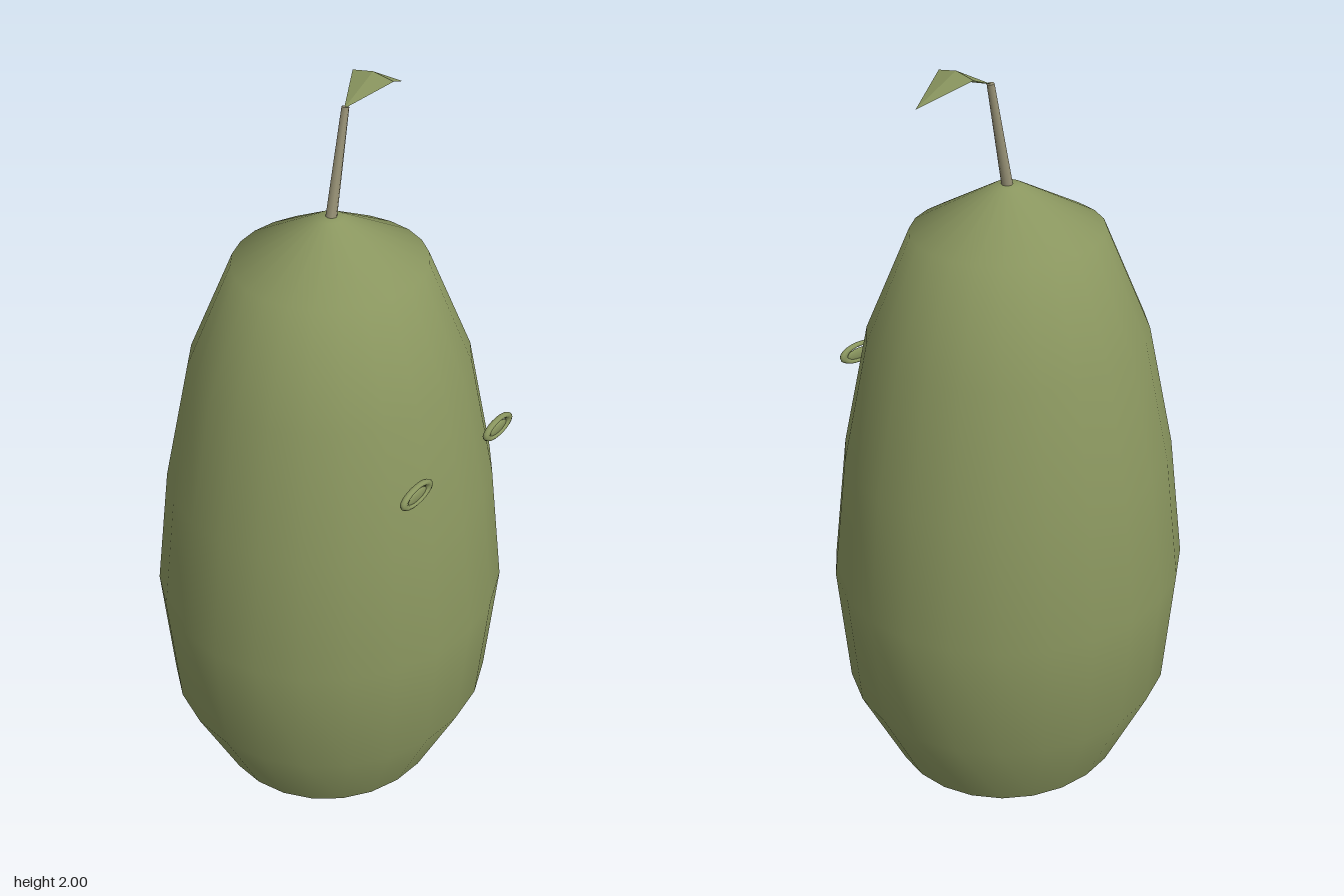
import * as THREE from 'three';

const mat = (name, color, side = THREE.FrontSide) => {
  const m = new THREE.MeshStandardMaterial({ color, side });
  m.name = name;
  return m;
};

function add(parent, name, geometry, material) {
  const mesh = new THREE.Mesh(geometry, material);
  mesh.name = name;
  parent.add(mesh);
  return mesh;
}

const lathe = (pts) =>
  new THREE.LatheGeometry(pts.map(([r, y]) => new THREE.Vector2(r, y)), 24).scale(1, 1, 0.957);

// Thin bent diamond: two tips, two side corners, and a raised and a lower ridge point
function leafGeometry() {
  const root = [0.05, 1.947, 0], tip = [0.277, 1.938, 0];
  const left = [0.158, 1.99, 0.058], right = [0.158, 1.99, -0.058];
  const top = [0.158, 2.0, 0], under = [0.158, 1.978, 0];
  const faces = [
    root, left, top, left, tip, top, tip, right, top, right, root, top,
    left, root, under, tip, left, under, right, tip, under, root, right, under,
  ];
  const g = new THREE.BufferGeometry();
  g.setAttribute('position', new THREE.Float32BufferAttribute(faces.flat(), 3));
  g.computeVertexNormals();
  return g;
}

export function createModel() {
  const model = new THREE.Group();
  model.name = 'gourd';
  const green = mat('skin green', 0x8a965f);
  const leafGreen = mat('leaf green', 0x8a965f, THREE.DoubleSide);
  const stemTan = mat('stem tan', 0x9a9478);

  // Body, with a separate base so the bottom rim stays sharp
  add(model, 'body', lathe([
    [0.33, 0.06], [0.45, 0.32], [0.475, 0.66], [0.432, 1.0],
    [0.36, 1.325], [0.243, 1.588], [0.035, 1.698], [0, 1.7],
  ]), green);
  add(model, 'base', lathe([[0, 0], [0.03, 0.002], [0.33, 0.06]]), green);

  // Leaning stem
  const from = new THREE.Vector3(0, 1.68, 0), to = new THREE.Vector3(0.055, 1.95, 0);
  const dir = to.clone().sub(from);
  const stem = add(model, 'stem', new THREE.CylinderGeometry(0.009, 0.014, dir.length(), 8), stemTan);
  stem.position.copy(from).add(to).multiplyScalar(0.5);
  stem.quaternion.setFromUnitVectors(new THREE.Vector3(0, 1, 0), dir.normalize());

  add(model, 'leaf', leafGeometry(), leafGreen);

  // Eyes: flat oval lids around a smaller oval
  for (const [side, s] of [['left', 1], ['right', -1]]) {
    const eye = new THREE.Group();
    eye.name = side + 'Eye';
    eye.position.set(s * 0.174, 1.175, 0.388);
    add(eye, 'lids', new THREE.TorusGeometry(0.05, 0.012, 8, 20).scale(1, 0.45, 0.7), green);
    add(eye, 'eyeball', new THREE.SphereGeometry(0.04, 16, 8).scale(1, 0.4, 0.12), green)
      .position.y = -0.004;
    model.add(eye);
  }
  return model;
}
